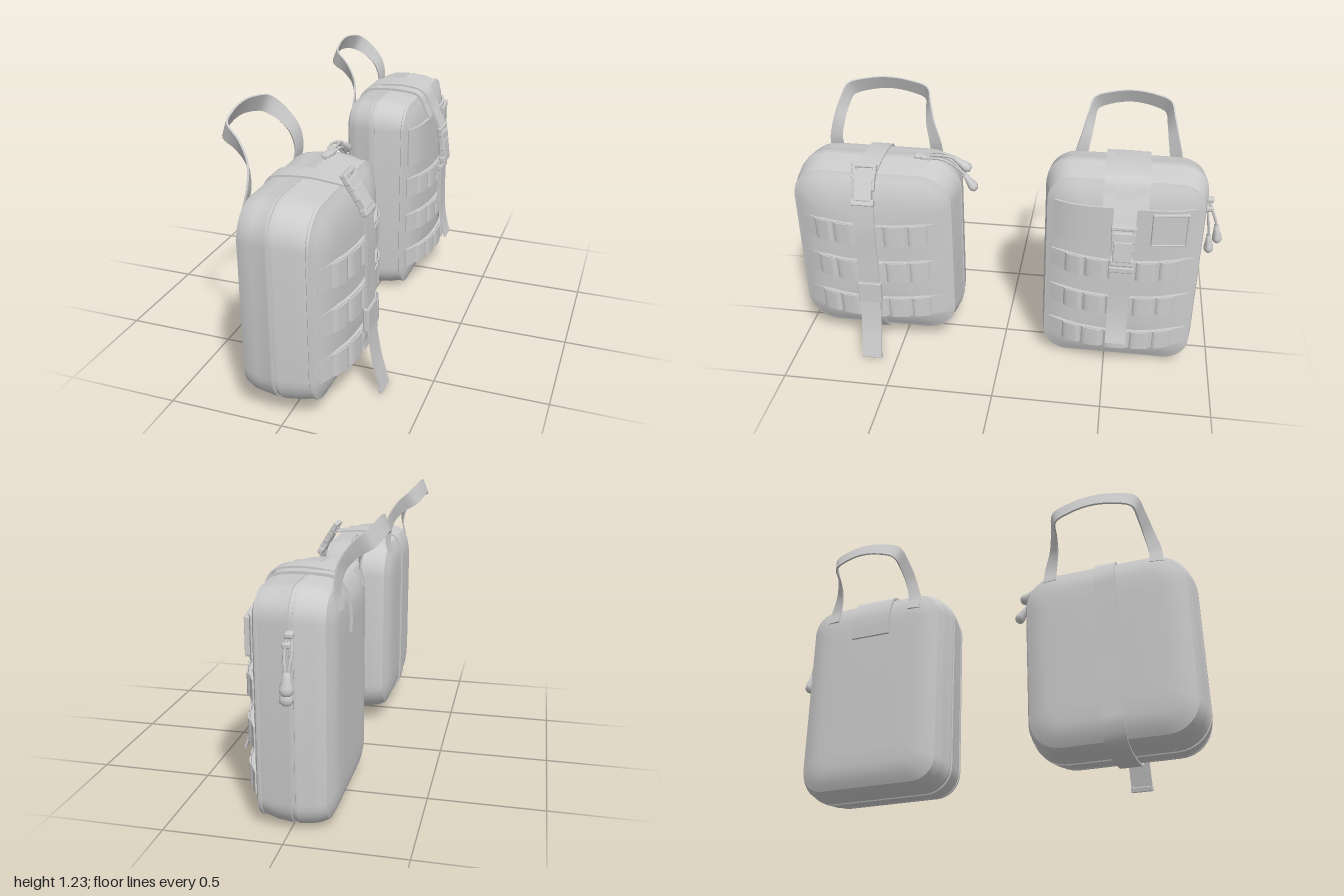
import * as THREE from 'three';
import { toCreasedNormals } from 'three/addons/utils/BufferGeometryUtils.js';
import { RoundedBoxGeometry } from 'three/addons/geometries/RoundedBoxGeometry.js';

const material = new THREE.MeshStandardMaterial({ color: 0xcccccc });
const V = (x, y, z) => new THREE.Vector3(x, y, z);

function add(parent, name, geometry, x = 0, y = 0, z = 0) {
  const mesh = new THREE.Mesh(geometry, material);
  mesh.name = name;
  mesh.position.set(x, y, z);
  parent.add(mesh);
  return mesh;
}

// Skin over a row of rings (each counter-clockwise about the travel direction), capped at both ends
function loft(rings, crease) {
  const n = rings[0].length, last = (rings.length - 1) * n, points = rings.flat(), index = [];
  const centre = ring => ring.reduce((s, p) => s.add(p), V(0, 0, 0)).divideScalar(n);
  points.push(centre(rings[0]), centre(rings[rings.length - 1]));
  for (let j = 0; j < n; j++) {
    const k = (j + 1) % n;
    for (let i = 0; i < last; i += n) index.push(i + j, i + k, i + n + k, i + j, i + n + k, i + n + j);
    index.push(points.length - 2, k, j, points.length - 1, last + j, last + k);
  }
  const geometry = new THREE.BufferGeometry().setFromPoints(points);
  geometry.setIndex(index);
  return toCreasedNormals(geometry, crease);
}

// Webbing ribbon: centre points, half-width vectors (one, or one per point) and thickness
function ribbon(points, half, thickness = 0.008, steps = 48) {
  const path = new THREE.CatmullRomCurve3(points);
  const widths = Array.isArray(half) ? new THREE.CatmullRomCurve3(half) : null;
  const rings = [];
  for (let i = 0; i <= steps; i++) {
    const t = i / steps, c = path.getPoint(t), w = widths ? widths.getPoint(t) : half;
    const nrm = path.getTangent(t).cross(w).normalize().multiplyScalar(thickness / 2);
    rings.push([[1, 1], [-1, 1], [-1, -1], [1, -1]].map(([a, b]) =>
      c.clone().addScaledVector(w, a).addScaledVector(nrm, b)));
  }
  return loft(rings, 0.7);
}

// Strap lying in the x-y plane at local z = 0
const strap = (xy, halfWidth, thickness) =>
  ribbon(xy.map(([x, y]) => V(x, y, 0)), V(0, 0, halfWidth), thickness, 90);

// Shell sections from back to front: x position and inset from the outline
const shellProfile = [
  [-0.201, 0.2], [-0.2, 0.125], [-0.195, 0.092], [-0.185, 0.06], [-0.168, 0.027], [-0.14, 0.014], [-0.1, 0.007],
  [-0.042, 0.001], [-0.04, 0], [-0.03, 0], [-0.028, 0.005],
  [-0.012, 0.005], [-0.01, 0], [0, 0], [0.002, 0.001],
  [0.06, 0.007], [0.116, 0.021], [0.119, 0.017], [0.13, 0.019], [0.134, 0.03],
  [0.146, 0.048], [0.165, 0.09], [0.178, 0.14], [0.187, 0.22], [0.19, 0.3]];

function shell(halfZ, halfY, radius, backShift, swell) {
  const rings = shellProfile.map(([px, inset]) => {
    const x = px < -0.1 ? px + backShift : px > 0.134 ? 0.134 + (px - 0.134) * swell : px;
    const r = Math.max(0.05, radius - inset * 0.6), ring = [];
    [[-1, 1], [1, 1], [1, -1], [-1, -1]].forEach(([sz, sy], q) => {
      for (let i = 0; i <= 8; i++) {
        const a = (q + i / 8) * Math.PI / 2;
        ring.push(V(x, sy * (halfY - inset - r) + r * Math.sin(a),
          sz * (halfZ - inset - r) - r * Math.cos(a)));
      }
    });
    return ring;
  });
  return loft(rings, 0.6);
}

// Carry handle: leaning ribbon arch, wide along z at the feet and upright at the top
function handle(s) {
  const side = [
    [-0.18, 0.89, 1.05, 0.004, 0, 0.03], [-0.165, 0.96, 1.03, 0.006, 0.004, 0.028],
    [-0.176, 1.05, 0.94, 0.012, 0.012, 0.021], [-0.222, 1.115, 0.87, 0.014, 0.024, 0.014],
    [-0.28, 1.158, 0.79, 0.014, 0.034, 0.008], [-0.3, 1.18, 0.45, 0.014, 0.034, 0.002]];
  const points = [], widths = [];
  for (const [x, y, z, wx, wy, wz] of side) {
    points.push(V(x, y, z * s));
    widths.push(V(wx, wy, wz));
  }
  const mirror = list => [...list].reverse().map(p => V(p.x, p.y, -p.z));
  return ribbon([...points, V(-0.306, 1.191, 0), ...mirror(points)],
    [...widths, V(0.014, 0.033, 0), ...mirror(widths)], 0.008, 60);
}

// Row of load webbing stitched down at intervals across the domed face
function webbingRow(parent, y, height, halfZ) {
  const row = new THREE.Group();
  row.name = 'webbingRow';
  row.position.y = y;
  parent.add(row);
  const bow = z => 0.224 - 0.076 * Math.abs(z / halfZ) ** 2.4;
  const stitches = [-0.275, -0.177, -0.065, 0.065, 0.177, 0.275].map(z => z * halfZ / 0.34);
  const base = [];
  for (let i = -8; i <= 8; i++) base.push(V(bow(i / 8 * halfZ) - 0.006, 0, i / 8 * halfZ));
  add(row, 'webbingBase', ribbon(base, V(0, height / 2, 0), 0.014, 32));
  for (let i = 0; i < stitches.length - 1; i++) {
    const a = stitches[i] + 0.005, b = stitches[i + 1] - 0.005;
    const loop = [0, 0.1, 0.5, 0.9, 1].map((t, k) => {
      const z = a + (b - a) * t;
      return V(bow(z) + [-0.002, 0.007, 0.009, 0.007, -0.002][k], 0, z);
    });
    add(row, 'webbingLoop', ribbon(loop, V(0, height / 2, 0), 0.006, 12));
  }
}

// Side-release buckle: x outward, y along the strap, z across
function buckle(parent, x, y, tilt) {
  const group = new THREE.Group();
  group.name = 'buckle';
  group.position.set(x, y, 0);
  group.rotation.z = tilt;
  parent.add(group);
  const box = (name, w, h, d, px, py, pz) =>
    add(group, name, new RoundedBoxGeometry(w, h, d, 2, 0.006), px, py, pz);
  box('socket', 0.034, 0.1, 0.084, 0, -0.025, 0);
  box('socketBar', 0.028, 0.032, 0.108, 0, -0.08, 0);
  box('plugBody', 0.028, 0.05, 0.106, 0, 0.042, 0);
  box('plugBar', 0.026, 0.02, 0.114, 0, 0.086, 0);
  for (const s of [-1, 1]) {
    box('plugSide', 0.024, 0.045, 0.018, 0, 0.068, s * 0.047);
    box('releaseProng', 0.024, 0.055, 0.014, 0, 0, s * 0.045);
  }
}

// Zip pull: cord loop from the slider ending in a moulded drop
function zipPull(parent, points) {
  const group = new THREE.Group();
  group.name = 'zipPull';
  parent.add(group);
  const path = points.map(p => V(...p));
  const end = path[path.length - 1], dir = end.clone().sub(path[path.length - 2]).normalize();
  for (const s of [-1, 1]) {
    const cord = path.map((p, i) => p.clone().add(V(i === 1 ? s * 0.014 : s * 0.007, 0, 0)));
    add(group, 'cord', new THREE.TubeGeometry(new THREE.CatmullRomCurve3(cord), 20, 0.006, 6));
  }
  const profile = [[0, -0.05], [0.011, -0.048], [0.014, -0.02], [0.022, 0.012], [0.021, 0.03], [0.012, 0.041], [0, 0.044]];
  const drop = add(group, 'pullEnd', new THREE.LatheGeometry(profile.map(p => new THREE.Vector2(...p)), 12), end.x, end.y, end.z);
  drop.quaternion.setFromUnitVectors(V(0, 1, 0), dir);
  drop.scale.x = 1.3;
  const slider = add(group, 'slider', new RoundedBoxGeometry(0.035, 0.024, 0.05, 2, 0.008));
  slider.position.copy(path[0]);
}

function pouch(name, z, shellGeometry, y) {
  const group = new THREE.Group();
  group.name = name;
  group.position.z = z;
  add(group, 'shell', shellGeometry, 0, y, 0);
  return group;
}

export function createModel() {
  const model = new THREE.Group();
  model.name = 'pouchPair';

  // Front pouch with a strap running all the way round
  const front = pouch('frontPouch', 0.608, shell(0.39, 0.444, 0.155, 0, 1), 0.504);
  model.add(front);
  for (const y of [0.655, 0.455, 0.252]) webbingRow(front, y, 0.105, 0.335);
  add(front, 'handle', handle(0.235));
  const belt = new THREE.Group();
  belt.name = 'wrapStrap';
  belt.position.z = 0.012;
  front.add(belt);
  add(belt, 'strap', strap([[0.165, 0.94], [0.12, 0.945], [0, 0.955], [-0.13, 0.944], [-0.17, 0.927], [-0.202, 0.855],
    [-0.206, 0.78], [-0.206, 0.5], [-0.206, 0.22], [-0.202, 0.152], [-0.17, 0.082], [-0.13, 0.064], [0, 0.053],
    [0.12, 0.066], [0.18, 0.12], [0.23, 0.24], [0.245, 0.35], [0.246, 0.55], [0.246, 0.7], [0.235, 0.83]], 0.049));
  add(belt, 'strapTail', strap([[0.252, 0.41], [0.256, 0.3], [0.276, 0.16], [0.296, 0.08], [0.313, 0.016]], 0.048));
  add(belt, 'tailHem', new RoundedBoxGeometry(0.014, 0.024, 0.1, 2, 0.004), 0.309, 0.015, 0).rotation.z = 0.25;
  add(belt, 'strapKeeper', new RoundedBoxGeometry(0.026, 0.11, 0.112, 2, 0.006), 0.247, 0.352, 0);
  buckle(belt, 0.195, 0.905, 0.53);
  zipPull(front, [[-0.02, 0.952, -0.2], [-0.02, 0.972, -0.28], [-0.02, 0.957, -0.36], [-0.02, 0.925, -0.403]]);
  zipPull(front, [[-0.015, 0.952, -0.23], [-0.015, 0.95, -0.32], [-0.015, 0.89, -0.4], [-0.015, 0.835, -0.437]]);

  // Rear pouch, a little shallower, with a short strap over the lid
  const rear = pouch('rearPouch', -0.549, shell(0.366, 0.498, 0.125, 0.019, 0.8), 0.498);
  model.add(rear);
  for (const y of [0.572, 0.377, 0.182]) webbingRow(rear, y, 0.095, 0.32);
  add(rear, 'handle', handle(0.21));
  const panel = [];
  for (let i = -6; i <= 6; i++) panel.push(V(0.19 - 0.045 * (i / 6) ** 4, 0.782, i / 6 * 0.315));
  add(rear, 'upperPanel', ribbon(panel, V(0, 0.092, 0), 0.012, 30));
  add(rear, 'lidBand', strap([[-0.194, 0.77], [-0.194, 0.85], [-0.185, 0.91], [-0.152, 0.975], [-0.12, 0.992], [-0.06, 0.999],
    [0.05, 1], [0.13, 0.982], [0.165, 0.92], [0.19, 0.87]], 0.1, 0.012));
  add(rear, 'lidStrap', strap([[-0.12, 0.999], [-0.04, 1.01], [0.05, 1.012], [0.14, 0.99], [0.19, 0.9], [0.24, 0.8]], 0.05));
  add(rear, 'lowerStrap', strap([[0.24, 0.65], [0.238, 0.5], [0.236, 0.34]], 0.05, 0.01));
  add(rear, 'strapTail', strap([[0.246, 0.63], [0.247, 0.45], [0.252, 0.34], [0.265, 0.26], [0.283, 0.2]], 0.047));
  add(rear, 'strapKeeper', new RoundedBoxGeometry(0.024, 0.03, 0.112, 2, 0.006), 0.243, 0.59, 0);
  buckle(rear, 0.245, 0.715, 0.12);

  // Square patch with a raised border
  const patch = new THREE.Group();
  patch.name = 'patch';
  patch.position.set(0.186, 0.78, -0.2);
  patch.rotation.y = 0.15;
  rear.add(patch);
  add(patch, 'patchBase', new RoundedBoxGeometry(0.02, 0.16, 0.16, 2, 0.006));
  for (const s of [-1, 1]) {
    add(patch, 'patchBorder', new RoundedBoxGeometry(0.01, 0.01, 0.162, 2, 0.004), 0.01, s * 0.076, 0);
    add(patch, 'patchBorder', new RoundedBoxGeometry(0.01, 0.162, 0.01, 2, 0.004), 0.01, 0, s * 0.076);
  }
  zipPull(rear, [[-0.02, 0.83, -0.37], [-0.02, 0.77, -0.396], [-0.02, 0.7, -0.421], [-0.02, 0.65, -0.428]]);
  zipPull(rear, [[-0.01, 0.79, -0.37], [-0.01, 0.72, -0.382], [-0.01, 0.65, -0.391], [-0.01, 0.6, -0.396]]);
  return model;
}
